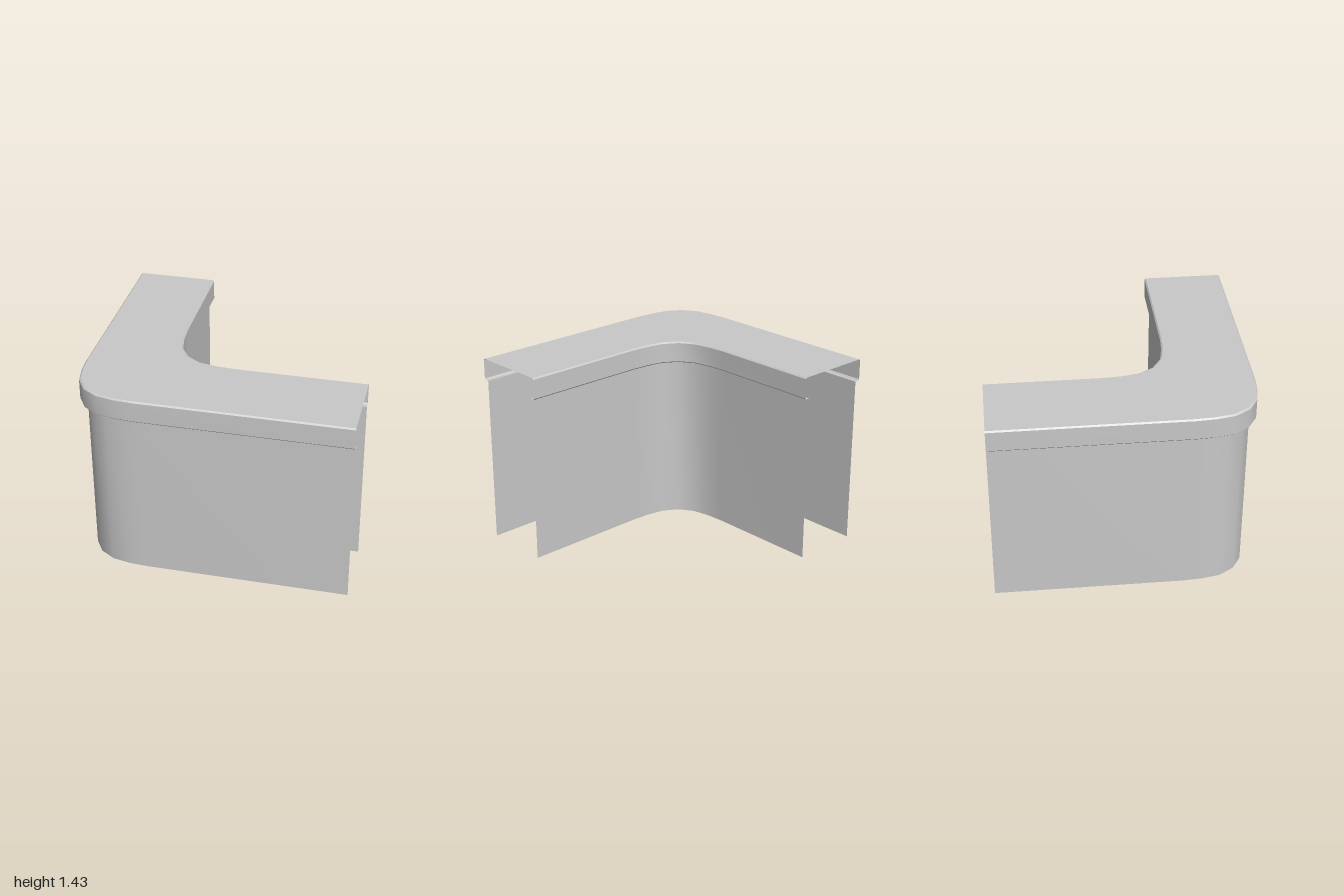
import * as THREE from 'three';
import { mergeGeometries } from 'three/addons/utils/BufferGeometryUtils.js';

const BACK = -0.945, RIGHT = 1, LEFT = -1, FRONT = 0.943;

// Rounded corner as [x, z] offsets from the square corner, symmetric about the diagonal
const half = [[0, 0.48], [0.009, 0.345], [0.035, 0.213]];
const corner = [...half, [0.104, 0.104], ...half.map(([a, b]) => [b, a]).reverse()];

// L-shaped line running from the back end to the right end, moved inwards by d
function path(d) {
  return [
    [LEFT + d, BACK],
    ...corner.map(([a, b]) => [LEFT + d + a, FRONT - d - b]),
    [RIGHT, FRONT - d],
  ];
}

// Sheet between two lines of the cross-section, smooth along the path
function strip([d0, y0], [d1, y1]) {
  const a = path(d0), b = path(d1), pos = [], idx = [];
  a.forEach(([x, z], i) => {
    pos.push(x, y0, z, b[i][0], y1, b[i][1]);
    if (i > 0) {
      const p = 2 * (i - 1);
      idx.push(p, p + 2, p + 1, p + 2, p + 3, p + 1);
    }
  });
  const g = new THREE.BufferGeometry();
  g.setAttribute('position', new THREE.Float32BufferAttribute(pos, 3));
  g.setIndex(idx);
  g.computeVertexNormals();
  return g;
}

// Sweep a whole cross-section, keeping its edges sharp
function sweep(profile) {
  return mergeGeometries(profile.slice(1).map((p, i) => strip(profile[i], p)));
}

export function createModel() {
  const group = new THREE.Group();
  group.name = 'cornerCounter';
  const grey = new THREE.MeshStandardMaterial({ color: 0xc8c8c8, side: THREE.DoubleSide });
  grey.name = 'light grey';

  const add = (name, profile) => {
    const mesh = new THREE.Mesh(sweep(profile), grey);
    mesh.name = name;
    group.add(mesh);
  };

  const low = 1.265, top = 1.43, r = 0.01, width = 0.59, inset = 0.04;

  // Upright panels, open at both ends and below
  add('outerPanel', [[inset, 0], [inset, low]]);
  add('innerPanel', [[width - inset, low], [width - inset, 0]]);

  // Overhanging worktop with small bevels and a lip turned under to each panel
  add('worktop', [
    [inset, low], [r, low], [0, low + r], [0, top - r], [r, top],
    [width - r, top], [width, top - r], [width, low + r], [width - r, low], [width - inset, low],
  ]);
  return group;
}
